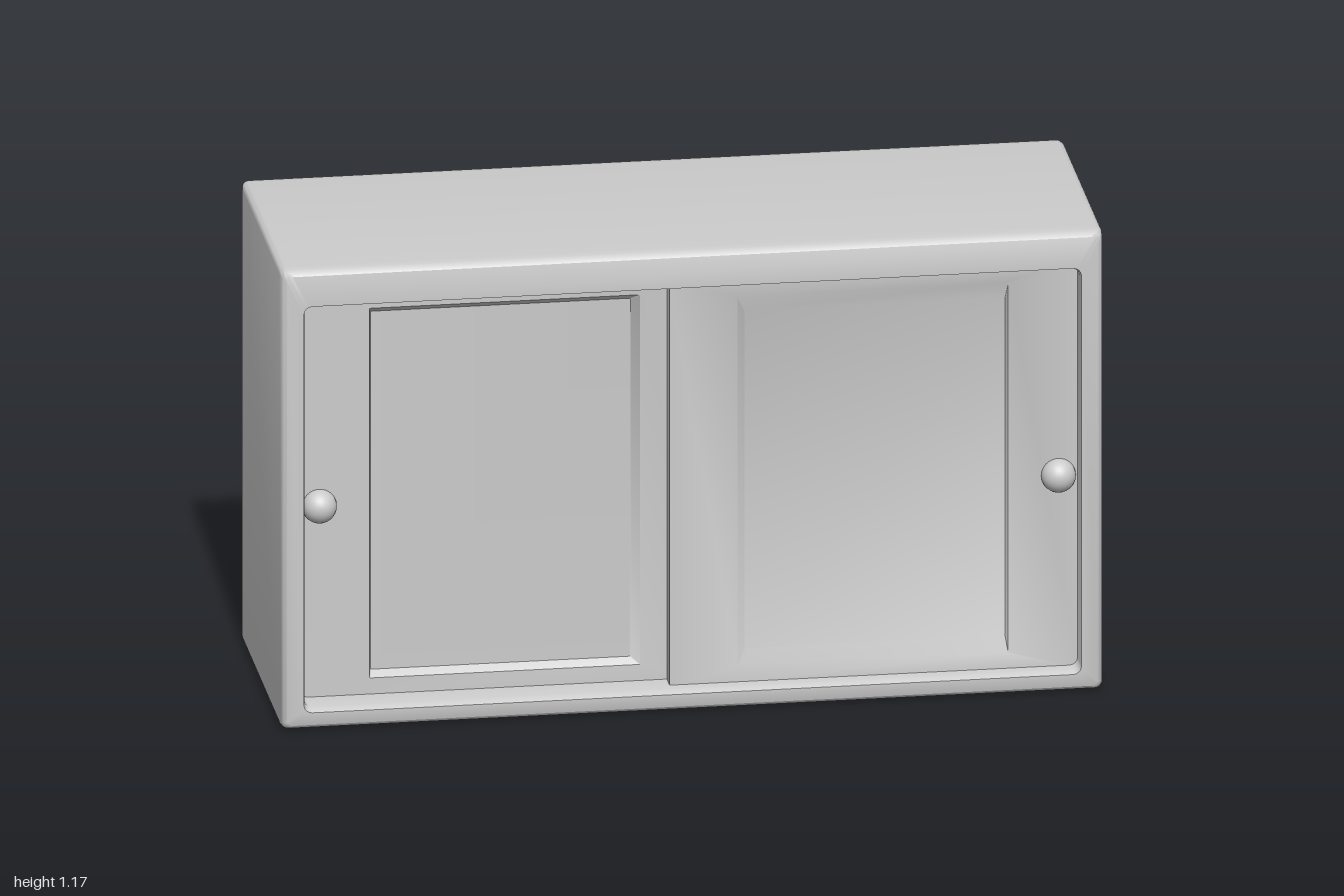
import * as THREE from 'three';
import { toCreasedNormals } from 'three/addons/utils/BufferGeometryUtils.js';

const material = new THREE.MeshStandardMaterial({ color: 0xcccccc });

// Points of a rounded rectangle, counter-clockwise seen from +z
function ring([x0, x1, y0, y1, r, z], steps = 4) {
  const corners = [[x1 - r, y1 - r], [x0 + r, y1 - r], [x0 + r, y0 + r], [x1 - r, y0 + r]];
  return corners.flatMap(([cx, cy], k) =>
    Array.from({ length: steps + 1 }, (_, i) => {
      const a = (k + i / steps) * Math.PI / 2;
      return [cx + r * Math.cos(a), cy + r * Math.sin(a), z];
    }));
}

// Closed skin through a list of rounded rectangles, flat at both ends
function loft(name, sections) {
  const rings = sections.map((s) => ring(s));
  const n = rings[0].length;
  const index = [];
  const last = (rings.length - 1) * n;
  for (let k = 0; k < rings.length - 1; k++) {
    for (let i = 0; i < n; i++) {
      const a = k * n + i, b = k * n + (i + 1) % n;
      index.push(a, b, b + n, a, b + n, a + n);
    }
  }
  for (let i = 1; i < n - 1; i++) {
    index.push(0, i + 1, i, last, last + i, last + i + 1);
  }
  const geometry = new THREE.BufferGeometry();
  geometry.setAttribute('position', new THREE.Float32BufferAttribute(rings.flat(2), 3));
  geometry.setIndex(index);
  const mesh = new THREE.Mesh(toCreasedNormals(geometry, 0.7), material);
  mesh.name = name;
  return mesh;
}

// Sliding door with a bevelled sunken panel; side is +1 or -1
function door(name, side, front, panelTop, panelBottom) {
  const span = (inner, outer) => (side > 0 ? [inner, outer] : [-outer, -inner]);
  const group = new THREE.Group();
  group.name = name;
  const slab = [...span(-0.05, 0.944), 0.046, 1.081, 0.003];
  const rim = [...span(0.115, 0.773), 0.095, 1.04, 0.003];
  const panel = [...span(0.135, 0.768), panelBottom, panelTop, 0.003];
  group.add(loft(name + 'Slab', [
    [...slab, front - 0.04], [...slab, front], [...rim, front], [...panel, front - 0.02],
  ]));
  const knob = new THREE.Mesh(new THREE.SphereGeometry(0.042, 24, 16), material);
  knob.name = name + 'Knob';
  knob.position.set(side * 0.895, 0.542, front + 0.003);
  group.add(knob);
  return group;
}

export function createModel() {
  const model = new THREE.Group();
  model.name = 'slidingDoorCabinet';

  // Case: softened outer box, then the front frame and the recess for the doors
  const H = 1.175;
  const outer = (inset, z) => [-1 + inset, 1 - inset, inset, H - inset, 0.016, z];
  model.add(loft('case', [
    outer(0.014, -0.34), outer(0.006, -0.333), outer(0.002, -0.32), outer(0, -0.3),
    outer(0, 0.3), outer(0.002, 0.32), outer(0.006, 0.333), outer(0.014, 0.34),
    [-0.945, 0.945, 0.045, 1.083, 0.02, 0.34],
    [-0.942, 0.942, 0.054, 1.079, 0.02, 0.325],
    [-0.942, 0.942, 0.054, 1.079, 0.02, 0.2],
  ]));

  // The left door (+x) slides in front of the right one
  model.add(door('leftDoor', 1, 0.297, 0.995, 0.132));
  model.add(door('rightDoor', -1, 0.253, 1.025, 0.11));
  return model;
}
